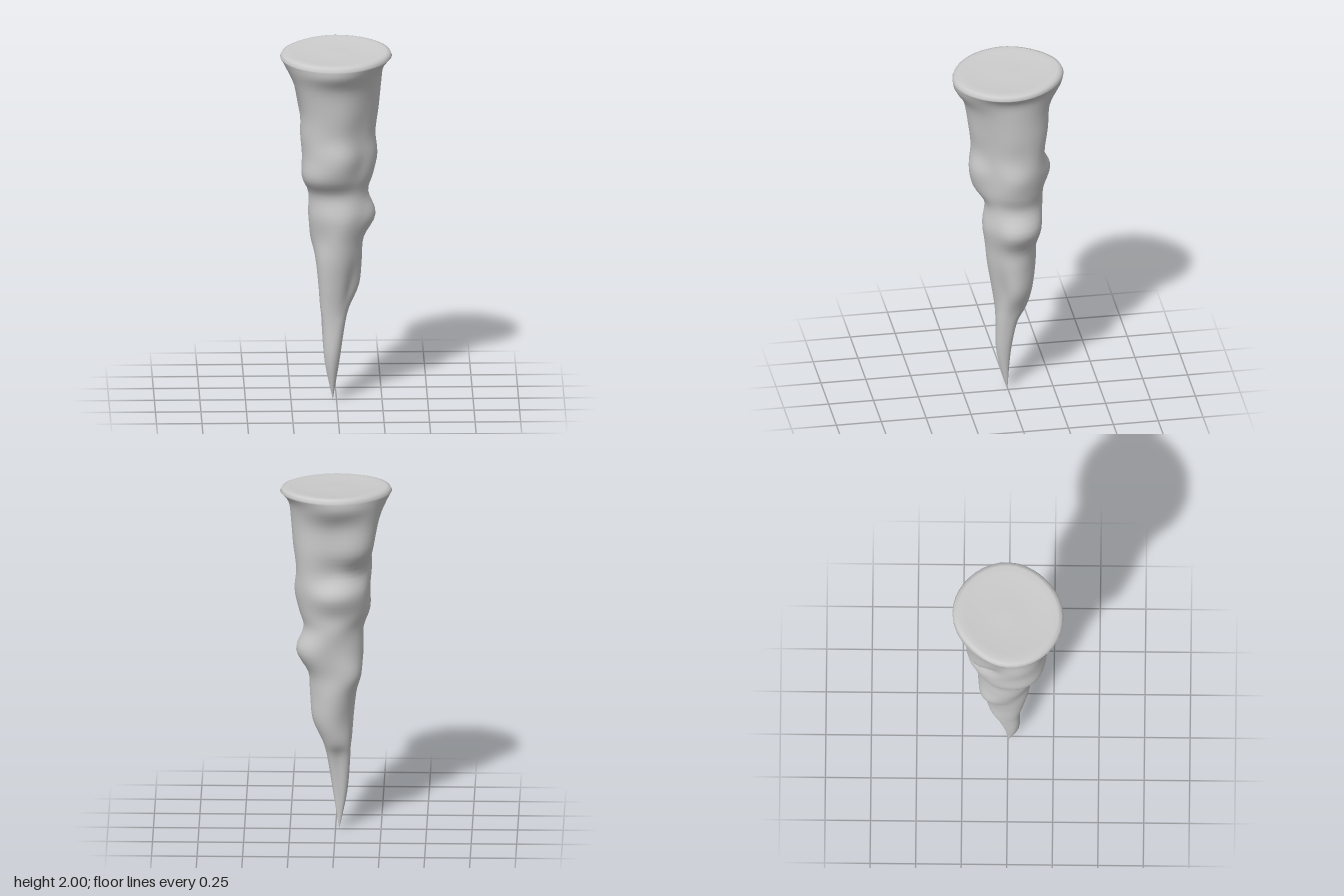
import * as THREE from 'three';

// Height, then the reach from the axis in 8 directions, 45 degrees apart, from +x towards +z
const SECTIONS = [
  [0, -0.02, -0.014, 0, 0.014, 0.02, 0.014, 0, -0.014],
  [0.22, 0.015, 0.035, 0.06, 0.068, 0.065, 0.045, 0.015, 0.01],
  [0.42, 0.045, 0.055, 0.065, 0.08, 0.078, 0.08, 0.045, 0.05],
  [0.52, 0.07, 0.06, 0.07, 0.09, 0.087, 0.1, 0.1, 0.09],
  [0.65, 0.125, 0.075, 0.085, 0.105, 0.095, 0.105, 0.13, 0.135],
  [0.8, 0.14, 0.11, 0.115, 0.12, 0.115, 0.135, 0.15, 0.145],
  [0.92, 0.15, 0.13, 0.13, 0.12, 0.14, 0.175, 0.155, 0.16],
  [1.05, 0.215, 0.16, 0.145, 0.14, 0.155, 0.16, 0.17, 0.215],
  [1.18, 0.175, 0.15, 0.13, 0.145, 0.155, 0.16, 0.185, 0.19],
  [1.28, 0.2, 0.17, 0.19, 0.21, 0.19, 0.185, 0.19, 0.205],
  [1.4, 0.225, 0.18, 0.215, 0.21, 0.19, 0.205, 0.23, 0.225],
  [1.52, 0.21, 0.18, 0.2, 0.215, 0.2, 0.18, 0.18, 0.23],
  [1.65, 0.23, 0.2, 0.215, 0.225, 0.2, 0.255, 0.215, 0.24],
  [1.8, 0.245, 0.23, 0.24, 0.26, 0.235, 0.27, 0.23, 0.245],
  [1.9, 0.26, 0.27, 0.295, 0.295, 0.28, 0.285, 0.295, 0.27],
  [1.955, 0.305, 0.295, 0.305, 0.31, 0.31, 0.29, 0.305, 0.3],
];
// Rounded lip and shallow dished top: [scale, height]
const CAP = [[0.97, 1.975], [0.9, 1.981], [0.78, 1.977], [0.5, 1.972], [0.25, 1.972], [0, 1.974]];
const SIDES = 40, STEPS = 4;

function cubic(a, b, c, d, t) {
  return b + 0.5 * t * (c - a + t * (2 * a - 5 * b + 4 * c - d + t * (3 * (b - c) + d - a)));
}

// Section at a fractional row, smoothed between neighbours
function sectionAt(f) {
  const last = SECTIONS.length - 1;
  const i = Math.min(Math.floor(f), last - 1);
  const row = (k) => SECTIONS[THREE.MathUtils.clamp(k, 0, last)];
  return row(i).map((_, k) => cubic(row(i - 1)[k], row(i)[k], row(i + 1)[k], row(i + 2)[k], f - i));
}

// Ring of points around the middle of a section
function addRing(positions, section, scale, y) {
  const reach = section.slice(1);
  const cx = (reach[0] - reach[4]) / 2, cz = (reach[2] - reach[6]) / 2;
  const radii = reach.map((r, k) => {
    const a = k * Math.PI / 4;
    return Math.max(0, r - cx * Math.cos(a) - cz * Math.sin(a));
  });
  const tilt = 0.06 * THREE.MathUtils.smoothstep(y, 1.75, 1.97);
  for (let j = 0; j < SIDES; j++) {
    const a = j / SIDES * Math.PI * 2, f = j / SIDES * 8, k = Math.floor(f);
    const at = (n) => radii[(n + 8) % 8];
    const r = scale * cubic(at(k - 1), at(k), at(k + 1), at(k + 2), f - k);
    const z = cz + r * Math.sin(a);
    positions.push(cx + r * Math.cos(a), y - tilt * z, z);
  }
}

export function createModel() {
  const group = new THREE.Group();
  group.name = 'stalactite';
  const positions = [], index = [];

  // Lumpy tapering shaft, then the cap
  const last = SECTIONS.length - 1;
  for (let i = 0; i <= last * STEPS; i++) {
    const section = sectionAt(i / STEPS);
    addRing(positions, section, 1, section[0]);
  }
  for (const [scale, y] of CAP) addRing(positions, SECTIONS[last], scale, y);

  // Join neighbouring rings
  const rings = positions.length / 3 / SIDES;
  for (let i = 0; i < rings - 1; i++) {
    for (let j = 0; j < SIDES; j++) {
      const a = i * SIDES + j, b = i * SIDES + (j + 1) % SIDES;
      index.push(a, a + SIDES, b, b, a + SIDES, b + SIDES);
    }
  }
  const geometry = new THREE.BufferGeometry();
  geometry.setAttribute('position', new THREE.Float32BufferAttribute(positions, 3));
  geometry.setIndex(index);
  geometry.computeVertexNormals();

  const spike = new THREE.Mesh(geometry, new THREE.MeshStandardMaterial({ color: 0xcccccc }));
  spike.name = 'rockSpike';
  group.add(spike);
  return group;
}
